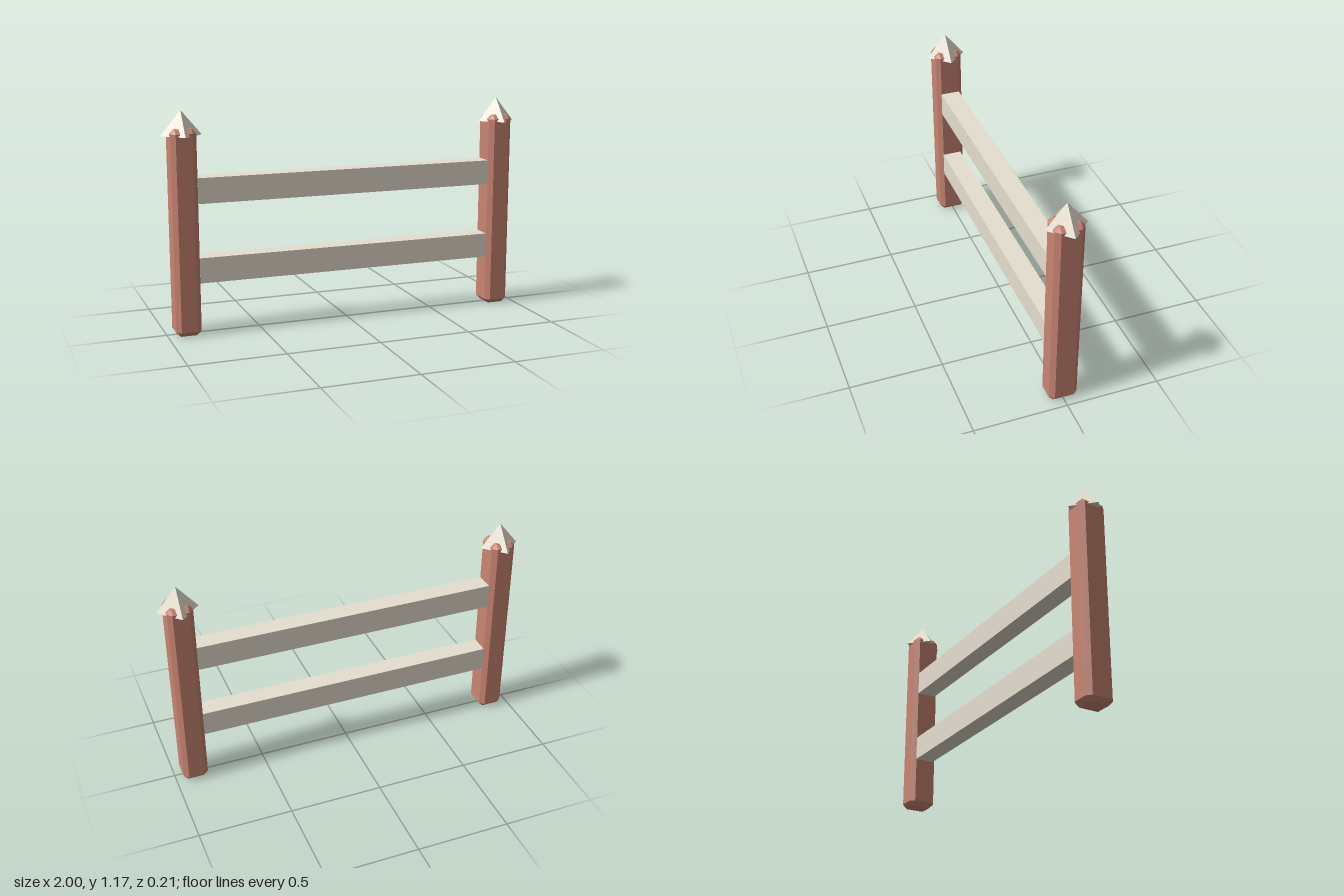
import * as THREE from 'three';
import { ConvexGeometry } from 'three/addons/geometries/ConvexGeometry.js';

const wood = new THREE.MeshStandardMaterial({ color: 0xc98572, flatShading: true });
const pale = new THREE.MeshStandardMaterial({ color: 0xe6dfd0, flatShading: true });

// Box with every edge chamfered by c, given by its half sizes
function chamferedBox(hx, hy, hz, c) {
  const points = [];
  for (const sx of [-1, 1]) for (const sy of [-1, 1]) for (const sz of [-1, 1]) {
    points.push(
      new THREE.Vector3(sx * hx, sy * (hy - c), sz * (hz - c)),
      new THREE.Vector3(sx * (hx - c), sy * hy, sz * (hz - c)),
      new THREE.Vector3(sx * (hx - c), sy * (hy - c), sz * hz)
    );
  }
  return new ConvexGeometry(points);
}

function addMesh(parent, name, geometry, material, x, y, z) {
  const mesh = new THREE.Mesh(geometry, material);
  mesh.name = name;
  mesh.position.set(x, y, z);
  parent.add(mesh);
}

export function createModel() {
  const fence = new THREE.Group();
  fence.name = 'fence';

  const postX = 0.893, postHalfX = 0.067, postHeight = 1.083;
  const postGeometry = chamferedBox(postHalfX, postHeight / 2, 0.076, 0.024);
  const capHeight = 0.13;
  const capGeometry = new THREE.ConeGeometry(0.107, capHeight, 4);

  // Posts with pyramid caps turned 45 degrees, so the post corners poke through
  for (const [side, s] of [['left', 1], ['right', -1]]) {
    addMesh(fence, side + 'Post', postGeometry, wood, s * postX, postHeight / 2, 0);
    addMesh(fence, side + 'Cap', capGeometry, pale, s * postX, 1.045 + capHeight / 2, 0);
  }

  // Rails running between the inner faces of the posts
  const railGeometry = new THREE.BoxGeometry(2 * (postX - postHalfX), 0.134, 0.106);
  addMesh(fence, 'upperRail', railGeometry, pale, 0, 0.762, 0);
  addMesh(fence, 'lowerRail', railGeometry, pale, 0, 0.343, 0);

  return fence;
}
